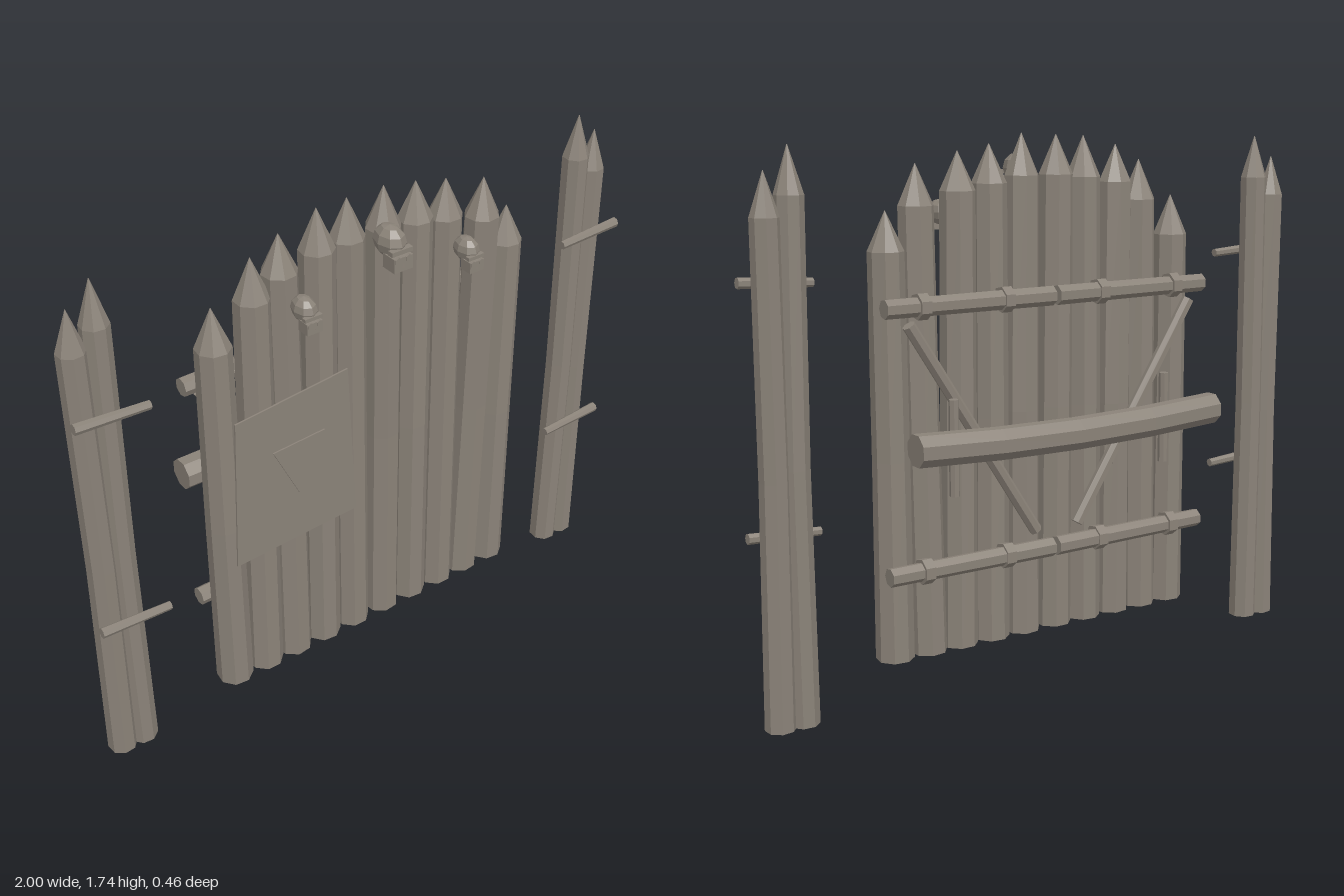
import * as THREE from 'three';

const wood = new THREE.MeshStandardMaterial({ color: 0x8a8278, flatShading: true });
wood.name = 'weatheredWood';

function add(parent, name, geo, pos = [0, 0, 0]) {
  const m = new THREE.Mesh(geo, wood);
  m.name = name;
  m.position.set(...pos);
  parent.add(m);
  return m;
}

// Sharpened log: an eight-sided cylinder whose rings follow base, middle, shoulder, tip
function logGeometry(r, x0, x1, y0, shoulder, tip, z, bend, turn, lean) {
  const xm = (x0 + x1) / 2 + bend;
  const rings = [[x0, y0, r, z], [xm, (y0 + shoulder) / 2, r * 0.96, z],
    [x1, shoulder, r * 0.92, z + lean], [x1, tip, 0.001, z + lean]];
  const g = new THREE.CylinderGeometry(1, 1, 1, 8, 3);
  g.rotateY(Math.PI / 8 + turn);
  const p = g.attributes.position;
  for (let i = 0; i < p.count; i++) {
    const [cx, cy, cr, cz] = rings[Math.round((p.getY(i) + 0.5) * 3)];
    p.setXYZ(i, cx + p.getX(i) * cr, cy, cz + p.getZ(i) * cr);
  }
  return g;
}

// Straight pole between two points
function pole(parent, name, a, b, r0, r1 = r0, sides = 7) {
  const A = new THREE.Vector3(...a), B = new THREE.Vector3(...b);
  const d = B.clone().sub(A);
  const m = add(parent, name, new THREE.CylinderGeometry(r1, r0, d.length(), sides));
  m.position.copy(A).add(B).multiplyScalar(0.5);
  m.quaternion.setFromUnitVectors(new THREE.Vector3(0, 1, 0), d.normalize());
  return m;
}

// Flat plate from front-facing outline points
function plate(points, depth) {
  const s = new THREE.Shape(points.map(([x, y]) => new THREE.Vector2(x, y)));
  return new THREE.ExtrudeGeometry(s, { depth, bevelEnabled: false });
}

function skull(parent, x, y, z, s) {
  const g = new THREE.Group();
  g.name = 'skull';
  add(g, 'cranium', new THREE.SphereGeometry(1, 8, 6).scale(0.043, 0.05, 0.06));
  add(g, 'jaw', new THREE.BoxGeometry(0.066, 0.045, 0.055), [0, -0.048, 0.04]);
  add(g, 'brow', new THREE.BoxGeometry(0.074, 0.014, 0.02), [0, -0.012, 0.052]);
  for (const e of [-1, 1]) {
    const eye = add(g, 'eyeSocket', new THREE.CylinderGeometry(0.013, 0.013, 0.008, 6), [e * 0.019, -0.034, 0.066]);
    eye.rotation.x = Math.PI / 2;
  }
  add(g, 'nose', new THREE.ConeGeometry(0.006, 0.014, 3), [0, -0.05, 0.068]);
  g.position.set(x, y, z);
  g.scale.setScalar(s);
  parent.add(g);
}

export function createModel() {
  const model = new THREE.Group();
  model.name = 'palisadeGate';

  // Gate logs: base x, top x, shoulder y, tip y
  const gate = new THREE.Group();
  gate.name = 'gateLogs';
  model.add(gate);
  [[-0.54, -0.535, 1.41, 1.54], [-0.42, -0.405, 1.53, 1.66], [-0.305, -0.315, 1.59, 1.71],
    [-0.185, -0.175, 1.61, 1.74], [-0.065, -0.075, 1.62, 1.745], [0.06, 0.05, 1.62, 1.75],
    [0.18, 0.18, 1.60, 1.72], [0.3, 0.288, 1.58, 1.70], [0.415, 0.43, 1.54, 1.665],
    [0.535, 0.543, 1.41, 1.53]].forEach(([x0, x1, sh, tip], i) => {
    const g = logGeometry(0.061, x0, x1, 0.13, sh, tip, 0.047, 0.004 * (i % 3 - 1),
      0.12 * (i % 3 - 1), 0.008 * (i % 3 - 1));
    add(gate, 'gateLog', g);
  });

  for (const s of [-1, 1]) {
    // Side posts with their tie pegs
    const post = new THREE.Group();
    post.name = s < 0 ? 'rightPost' : 'leftPost';
    model.add(post);
    add(post, 'outerPostLog', logGeometry(0.048, s * 0.95, s * 0.943, 0.01, 1.53, 1.66, 0, s * -0.006, 0.1, -0.005));
    add(post, 'innerPostLog', logGeometry(0.048, s * 0.873, s * 0.867, 0.01, 1.59, 1.73, 0, s * 0.006, -0.1, -0.003));
    for (const y of [1.335, 0.582]) {
      pole(post, 'postPeg', [s * 1.0, y + 0.007, 0.075], [s * 0.765, y - 0.006, 0.075], 0.017, 0.014);
    }

    // Back frame of each gate leaf
    const frame = new THREE.Group();
    frame.name = s < 0 ? 'rightFrame' : 'leftFrame';
    model.add(frame);
    for (const y of [1.25, 0.43]) {
      pole(frame, 'rail', [s * 0.6, y, -0.05], [s * 0.008, y, -0.055], 0.03, 0.032);
      for (const x of [0.475, 0.18]) {
        pole(frame, 'railBinding', [s * x - 0.017, y, -0.05], [s * x + 0.017, y, -0.05], 0.041);
      }
    }
    pole(frame, 'diagonalBrace', [s * 0.53, 1.2, -0.07], [s * 0.08, 0.5, -0.07], 0.021);
    pole(frame, 'barHolder', [s * 0.402, 0.67, -0.108], [s * 0.402, 0.97, -0.108], 0.016);
  }

  // Bowed locking bar
  const bar = new THREE.CylinderGeometry(0.052, 0.052, 1.13, 8, 4).rotateY(Math.PI / 8).rotateZ(Math.PI / 2);
  const p = bar.attributes.position;
  for (let i = 0; i < p.count; i++) {
    const t = 1 - (p.getX(i) / 0.565) ** 2;
    p.setY(i, p.getY(i) + 0.008 - 0.015 * t);
    p.setZ(i, p.getZ(i) - 0.014 * t);
  }
  add(model, 'lockingBar', bar, [0, 0.835, -0.163]);

  // Notice board with triangle mark
  add(model, 'noticeBoard', plate([[-0.545, 0.65], [-0.097, 0.672], [-0.125, 1.22], [-0.525, 1.18]], 0.006), [0, 0, 0.114]);
  add(model, 'triangleMark', plate([[-0.315, 0.84], [-0.218, 1.042], [-0.405, 1.03]], 0.005), [0, 0, 0.125]);

  // Skulls hung on the logs
  skull(model, -0.005, 1.637, 0.16, 1);
  skull(model, -0.298, 1.51, 0.152, 0.8);
  skull(model, 0.29, 1.51, 0.152, 0.8);

  return model;
}
